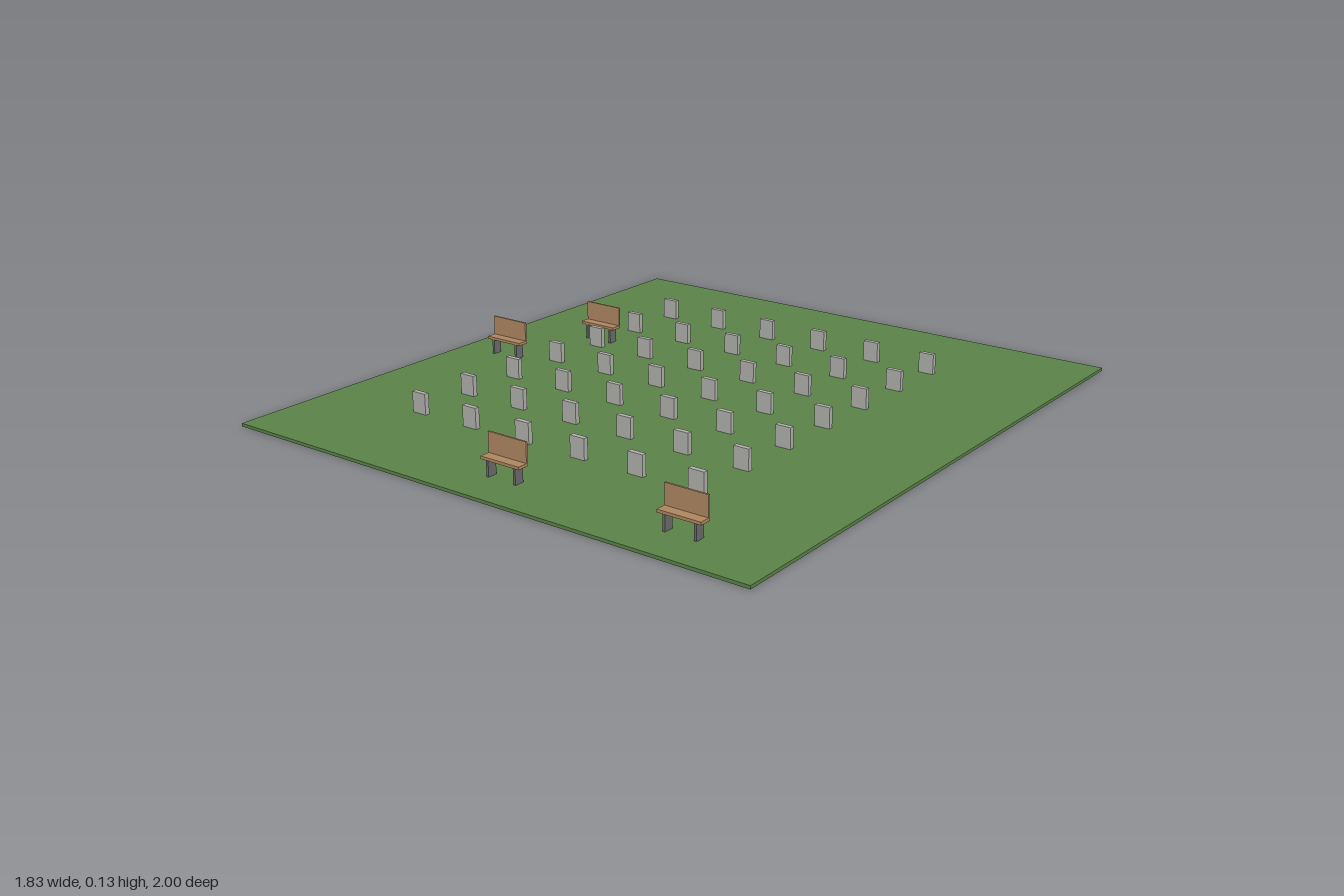
import * as THREE from 'three';

const mat = (color) => new THREE.MeshStandardMaterial({ color });

export function createModel() {
  const model = new THREE.Group();
  model.name = 'graveyard';
  const grass = mat(0x5a8248), stone = mat(0xb0b0ac), wood = mat(0xae8660), iron = mat(0x6a6a6a);

  // Box placed by its centre in x and z and by its bottom in y
  function addBox(parent, name, material, [w, h, d], [x, y, z]) {
    const mesh = new THREE.Mesh(new THREE.BoxGeometry(w, h, d), material);
    mesh.name = name;
    mesh.position.set(x, y + h / 2, z);
    parent.add(mesh);
  }

  // Lawn slab
  const groundTop = 0.01;
  addBox(model, 'lawn', grass, [1.826, groundTop, 2], [0, 0, 0]);

  // Headstones: seven rows of six
  const stones = new THREE.Group();
  stones.name = 'headstones';
  const spacing = 0.2064;
  for (let row = 0; row < 7; row++) {
    for (let col = 0; col < 6; col++) {
      addBox(stones, 'headstone', stone, [0.052, 0.066, 0.016],
        [-0.553 + col * spacing, groundTop, (row - 3) * spacing]);
    }
  }
  model.add(stones);

  // Benches, all facing the front
  function makeBench(x, z) {
    const bench = new THREE.Group();
    bench.name = 'bench';
    bench.position.set(x, groundTop, z);
    addBox(bench, 'seat', wood, [0.138, 0.009, 0.038], [0, 0.049, 0]);
    addBox(bench, 'backrest', wood, [0.138, 0.062, 0.006], [0, 0.058, -0.016]);
    for (const side of [-1, 1]) {
      addBox(bench, 'leg', iron, [0.008, 0.049, 0.031], [side * 0.049, 0, 0]);
    }
    return bench;
  }
  const benchSpots = [[-0.587, -0.268], [-0.725, 0.05], [0.007, 0.859], [0.612, 0.861]];
  for (const [x, z] of benchSpots) model.add(makeBench(x, z));

  return model;
}
